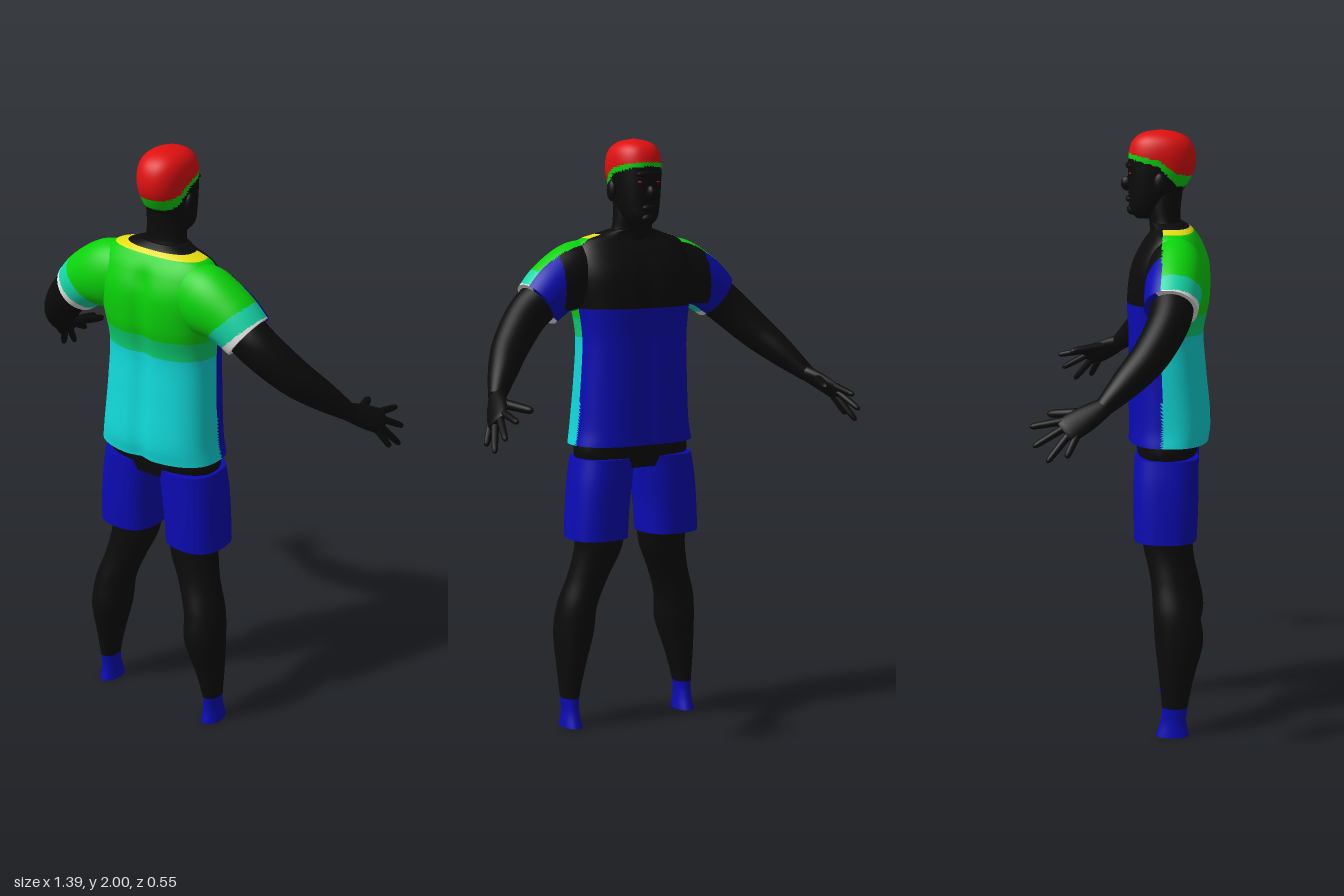
import * as THREE from 'three';

const mat = (name, color) => {
  const m = new THREE.MeshStandardMaterial({ color });
  m.name = name;
  return m;
};
const M = {
  skin: mat('black', 0x0b0b0b), red: mat('red', 0xe01010), green: mat('green', 0x0ad20a),
  band: mat('sea green', 0x0cce70), teal: mat('teal', 0x14d8a8), cyan: mat('cyan', 0x10d8d8),
  navy: mat('navy', 0x0b0bb4), yellow: mat('yellow', 0xe6dc10), white: mat('white', 0xe6e6e6),
};

// Smooth loft through rows [x, y, z, radiusA, radiusB]; radiusA lies along ref.
// paint is one material, or a rule giving a material for a surface point.
function loft(name, rows, paint, o = {}) {
  const { ref = [1, 0, 0], upright = true, p = 2, steps = 24, sides = 32, warp } = o;
  const curve = (f) => new THREE.CatmullRomCurve3(rows.map(f), false, 'catmullrom', 0.5);
  const path = curve((r) => new THREE.Vector3(r[0], r[1], r[2]));
  const size = curve((r) => new THREE.Vector3(r[3], r[4], 0));
  const verts = [], rings = [];
  const sq = (v) => Math.sign(v) * Math.abs(v) ** (2 / p);
  const add = (v) => verts.push(v) - 1;
  for (let i = 0; i <= steps; i++) {
    const t = i / steps, c = path.getPoint(t), s = size.getPoint(t);
    const T = upright ? new THREE.Vector3(0, 1, 0) : path.getTangent(t);
    const U = new THREE.Vector3(...ref);
    U.addScaledVector(T, -U.dot(T)).normalize();
    const V = T.clone().cross(U);
    const ring = [];
    for (let j = 0; j < sides; j++) {
      const a = (j / sides) * Math.PI * 2;
      const v = c.clone().addScaledVector(U, Math.max(s.x, 0.001) * sq(Math.cos(a)))
        .addScaledVector(V, Math.max(s.y, 0.001) * sq(Math.sin(a)));
      if (warp) warp(v);
      ring.push(add(v));
    }
    rings.push(ring);
  }
  const tris = [];
  for (let i = 0; i < steps; i++) for (let j = 0; j < sides; j++) {
    const k = (j + 1) % sides, [a, b] = [rings[i][j], rings[i][k]];
    const [c, d] = [rings[i + 1][j], rings[i + 1][k]];
    tris.push([a, b, c], [b, d, c]);
  }
  // flat end caps with their own corners
  for (const end of [0, steps]) {
    const ring = rings[end].map((n) => add(verts[n].clone()));
    const mid = add(path.getPoint(end / steps));
    ring.forEach((a, j) => {
      const b = ring[(j + 1) % sides];
      tris.push(end ? [mid, a, b] : [mid, b, a]);
    });
  }
  const buckets = new Map();
  for (const t of tris) {
    const c = new THREE.Vector3();
    t.forEach((n) => c.addScaledVector(verts[n], 1 / 3));
    const m = typeof paint === 'function' ? paint(c) : paint;
    if (!buckets.has(m)) buckets.set(m, []);
    buckets.get(m).push(...t);
  }
  const g = new THREE.BufferGeometry().setFromPoints(verts);
  const index = [];
  [...buckets.values()].forEach((list, i) => {
    g.addGroup(index.length, list.length, i);
    for (const n of list) index.push(n);
  });
  g.setIndex(index);
  g.computeVertexNormals();
  const mesh = new THREE.Mesh(g, [...buckets.keys()]);
  mesh.name = name;
  return mesh;
}

function blob(name, m, pos, scale) {
  const b = new THREE.Mesh(new THREE.SphereGeometry(1, 16, 12), m);
  b.position.set(...pos);
  b.scale.set(...scale);
  b.name = name;
  return b;
}

// Piecewise height of the hairline from brow to nape
function hairline(z, heights) {
  const zs = [0, 0.1, 0.16, 0.22];
  for (let i = 1; i < 4; i++) {
    if (z < zs[i]) return THREE.MathUtils.mapLinear(Math.max(z, 0), zs[i - 1], zs[i], heights[i - 1], heights[i]);
  }
  return heights[3];
}

const paintHead = ({ y, z }) => {
  if (y > hairline(z, [1.925, 1.905, 1.86, 1.85])) return M.red;
  return y > hairline(z, [1.91, 1.885, 1.82, 1.81]) ? M.green : M.skin;
};
const paintTorso = ({ y, z }) => {
  if (y > 1.685) return M.skin;
  if (z < 0.115) return y > 1.44 ? M.skin : M.navy;
  if (y > 1.672) return M.yellow;
  return y > 1.41 ? M.green : y > 1.34 ? M.band : M.cyan;
};
const paintSleeve = ({ x, y, z }) => {
  const along = Math.abs(x) - y;
  if (z < 0.115) return Math.abs(x) < 0.28 && y > 1.44 ? M.skin : M.navy;
  return along > -1.135 ? M.white : along > -1.215 ? M.teal : M.green;
};

function buildHead() {
  const head = new THREE.Group();
  head.name = 'head';
  head.add(loft('skullAndHair', [
    [0, 1.712, 0.06, 0.03, 0.035], [0, 1.74, 0.065, 0.055, 0.062], [0, 1.78, 0.08, 0.068, 0.08],
    [0, 1.83, 0.097, 0.077, 0.099], [0, 1.88, 0.108, 0.083, 0.11], [0, 1.93, 0.109, 0.084, 0.108],
    [0, 1.967, 0.107, 0.073, 0.092], [0, 1.99, 0.105, 0.046, 0.058], [0, 2, 0.105, 0.004, 0.004],
  ], paintHead, { p: 2.2, steps: 60, sides: 64 }));
  head.add(blob('nose', M.skin, [0, 1.825, -0.006], [0.014, 0.024, 0.02]));
  head.add(blob('lips', M.skin, [0, 1.775, 0.002], [0.026, 0.011, 0.012]));
  head.add(blob('chin', M.skin, [0, 1.74, 0.012], [0.026, 0.018, 0.018]));
  head.add(blob('brow', M.skin, [0, 1.885, 0.004], [0.05, 0.012, 0.014]));
  for (const s of [-1, 1]) {
    head.add(blob('ear', M.skin, [s * 0.086, 1.83, 0.105], [0.013, 0.035, 0.022]));
    head.add(blob('eye', M.red, [s * 0.032, 1.86, 0.006], [0.009, 0.003, 0.004]));
  }
  return head;
}

function buildArm(s) {
  const arm = new THREE.Group();
  arm.name = s > 0 ? 'leftArm' : 'rightArm';
  const flip = (rows) => rows.map(([x, ...r]) => [x * s, ...r]);
  const bent = { upright: false, ref: [0, 0, 1] };
  arm.add(loft('sleeve', flip([
    [0.12, 1.56, 0.158, 0.085, 0.11], [0.2, 1.545, 0.158, 0.095, 0.115],
    [0.28, 1.512, 0.152, 0.092, 0.098], [0.345, 1.46, 0.145, 0.086, 0.086],
  ]), paintSleeve, { ...bent, steps: 50, sides: 64 }));
  arm.add(loft('forearm', flip([
    [0.28, 1.51, 0.15, 0.072, 0.072], [0.38, 1.432, 0.142, 0.067, 0.07], [0.475, 1.335, 0.085, 0.06, 0.062],
    [0.54, 1.262, 0.015, 0.049, 0.048], [0.6, 1.19, -0.06, 0.028, 0.028],
  ]), M.skin, bent));
  // hand: flat palm, four fingers and a thumb
  const spread = new THREE.Vector3(-0.053, 0.09, -0.11).normalize();
  arm.add(loft('palm', flip([
    [0.59, 1.2, -0.045, 0.028, 0.026], [0.622, 1.167, -0.105, 0.042, 0.021],
    [0.648, 1.137, -0.16, 0.044, 0.016], [0.655, 1.128, -0.175, 0.036, 0.01],
  ]), M.skin, { upright: false, ref: [spread.x * s, spread.y, spread.z], steps: 12, sides: 20 }));
  const tips = [[0.69, 1.055, -0.165], [0.69, 1.04, -0.225], [0.673, 1.085, -0.268], [0.637, 1.14, -0.28]];
  const digit = (name, a, b, r) => {
    const at = (t, k) => [...a.map((v, i) => v + (b[i] - v) * t), r * k, r * k];
    arm.add(loft(name, flip([at(0, 1.1), at(0.5, 1), at(0.9, 0.8), at(1, 0.15)]), M.skin,
      { ...bent, ref: [s, 0, 0], steps: 9, sides: 10 }));
  };
  tips.forEach((tip, i) => {
    const k = (i - 1.5) * 0.022;
    digit('finger', [0.646 + spread.x * k, 1.138 + spread.y * k, -0.158 + spread.z * k], tip, 0.0115);
  });
  digit('thumb', [0.61, 1.18, -0.1], [0.558, 1.165, -0.232], 0.015);
  return arm;
}

function buildLeg(s) {
  const leg = new THREE.Group();
  leg.name = s > 0 ? 'leftLeg' : 'rightLeg';
  const flip = (rows) => rows.map(([x, ...r]) => [x * s, ...r]);
  leg.add(loft('legAndSock', flip([
    [0.225, 0, 0.155, 0.034, 0.056], [0.225, 0.05, 0.158, 0.028, 0.043], [0.225, 0.1, 0.162, 0.03, 0.043],
    [0.217, 0.2, 0.167, 0.046, 0.058], [0.202, 0.32, 0.175, 0.066, 0.08], [0.192, 0.42, 0.165, 0.067, 0.077],
    [0.158, 0.52, 0.15, 0.071, 0.071], [0.126, 0.62, 0.135, 0.082, 0.08], [0.122, 0.72, 0.125, 0.088, 0.088],
  ]), ({ y }) => (y < 0.1 ? M.navy : M.skin), { steps: 64 }));
  leg.add(loft('shortsLeg', flip([
    [0.138, 0.66, 0.127, 0.103, 0.104], [0.134, 0.75, 0.128, 0.103, 0.107],
    [0.124, 0.85, 0.128, 0.105, 0.108], [0.112, 0.935, 0.13, 0.104, 0.106],
  ]), M.navy, { p: 2.5 }));
  return leg;
}

export function createModel() {
  const model = new THREE.Group();
  model.name = 'athlete';
  model.add(buildHead());
  model.add(loft('neck', [
    [0, 1.66, 0.13, 0.09, 0.06], [0, 1.7, 0.12, 0.074, 0.052],
    [0, 1.75, 0.115, 0.068, 0.056], [0, 1.82, 0.12, 0.066, 0.06],
  ], M.skin));
  // shirt, with a groove down the spine and between the chest muscles
  model.add(loft('shirt', [
    [0, 0.98, 0.135, 0.222, 0.135], [0, 1.05, 0.138, 0.21, 0.138], [0, 1.2, 0.13, 0.2, 0.131],
    [0, 1.34, 0.125, 0.196, 0.126], [0, 1.45, 0.132, 0.208, 0.138], [0, 1.55, 0.138, 0.222, 0.132],
    [0, 1.62, 0.143, 0.215, 0.105], [0, 1.665, 0.145, 0.185, 0.075], [0, 1.685, 0.138, 0.125, 0.062],
    [0, 1.7, 0.125, 0.078, 0.055],
  ], paintTorso, {
    p: 2.5, steps: 110, sides: 96,
    warp: (v) => {
      const depth = Math.exp(-((v.x / 0.03) ** 2)) * THREE.MathUtils.smoothstep(1.66 - v.y, 0, 0.08);
      v.z += v.z > 0.13 ? -0.014 * depth : 0.008 * depth;
    },
  }));
  model.add(loft('hips', [
    [0, 0.9, 0.13, 0.17, 0.09], [0, 0.94, 0.13, 0.207, 0.1], [0, 1, 0.13, 0.205, 0.105],
  ], M.skin, { p: 2.5, steps: 10 }));
  for (const s of [-1, 1]) model.add(buildArm(s), buildLeg(s));
  return model;
}
